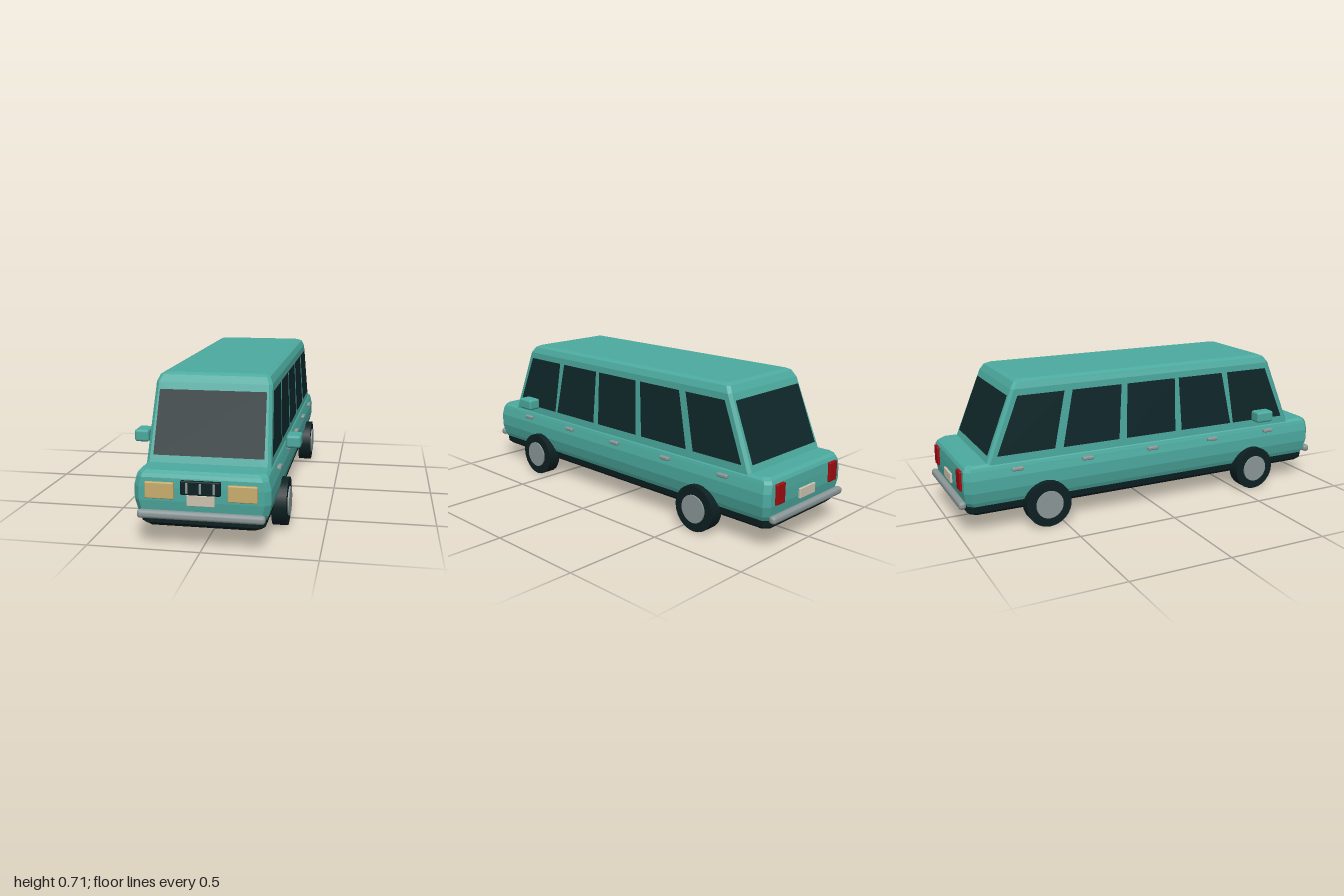
import * as THREE from 'three';
import { RoundedBoxGeometry } from 'three/addons/geometries/RoundedBoxGeometry.js';

const mat = (name, color, extra = {}) => {
  const m = new THREE.MeshStandardMaterial({ color, ...extra });
  m.name = name;
  return m;
};

// Flat-shaded faces from corner triples
function facets(tris) {
  const g = new THREE.BufferGeometry();
  g.setAttribute('position', new THREE.Float32BufferAttribute(tris.flat(), 3));
  g.computeVertexNormals();
  return g;
}

// Stacks chamfered rectangles: each level is [y, halfWidth, zFront, zBack]
function loft(levels, c) {
  const rings = levels.map(([y, w, f, b]) => [
    [w, y, b + c], [w, y, f - c], [w - c, y, f], [c - w, y, f],
    [-w, y, f - c], [-w, y, b + c], [c - w, y, b], [w - c, y, b],
  ]);
  const t = [];
  for (let k = 0; k + 1 < rings.length; k++) {
    for (let i = 0; i < 8; i++) {
      const j = (i + 1) % 8, lo = rings[k], hi = rings[k + 1];
      t.push(lo[i], hi[j], lo[j], lo[i], hi[i], hi[j]);
    }
  }
  const bottom = rings[0], top = rings[rings.length - 1];
  for (let i = 1; i < 7; i++) {
    t.push(bottom[0], bottom[i], bottom[i + 1]);
    t.push(top[0], top[i + 1], top[i]);
  }
  return facets(t);
}

const quad = (a, b, c, d) => facets([a, b, c, a, c, d]);

export function createModel() {
  const car = new THREE.Group();
  car.name = 'stretchedCar';
  const paint = mat('tealPaint', 0x4caa9f);
  const glass = mat('darkGlass', 0x0f272a, { flatShading: false });
  const black = mat('blackTrim', 0x0d2022);
  const metal = mat('greyMetal', 0x8b9798);
  const amber = mat('headlightAmber', 0xc9ad6c);
  const cream = mat('plateCream', 0xcdc4b1);
  const red = mat('tailRed', 0xa00c10);

  const add = (name, geo, material, x = 0, y = 0, z = 0) => {
    const m = new THREE.Mesh(geo, material);
    m.name = name;
    m.position.set(x, y, z);
    car.add(m);
    return m;
  };
  const rbox = (w, h, d, r) => new RoundedBoxGeometry(w, h, d, 2, r);

  // Lower body, underside and cabin
  add('body', loft([
    [0.14, 0.275, 0.957, -0.957], [0.16, 0.283, 0.966, -0.966], [0.21, 0.294, 0.973, -0.973],
    [0.27, 0.294, 0.973, -0.973], [0.31, 0.284, 0.97, -0.97], [0.325, 0.279, 0.962, -0.962],
    [0.337, 0.266, 0.945, -0.945],
  ], 0.025), paint);
  add('underside', loft([
    [0.09, 0.248, 0.94, -0.94], [0.107, 0.268, 0.957, -0.957], [0.145, 0.273, 0.957, -0.957],
  ], 0.025), black);
  add('cabin', loft([
    [0.33, 0.275, 0.835, -0.862], [0.67, 0.26, 0.70, -0.727],
    [0.70, 0.247, 0.677, -0.707], [0.71, 0.225, 0.655, -0.685],
  ], 0.014), paint);

  // Glass lies just outside the sloping cabin walls
  const y0 = 0.368, y1 = 0.64, gap = 0.003;
  const along = (y, a, b) => a + (b - a) * (y - 0.33) / 0.34;
  const fz = (y) => along(y, 0.835, 0.70) + gap;
  const bz = (y) => along(y, -0.862, -0.727) - gap;
  const sx = (y) => along(y, 0.275, 0.26) + gap;
  add('windscreen', quad([-0.245, y0, fz(y0)], [0.245, y0, fz(y0)],
    [0.239, y1, fz(y1)], [-0.239, y1, fz(y1)]), glass);
  add('rearWindow', quad([0.245, y0, bz(y0)], [-0.245, y0, bz(y0)],
    [-0.239, y1, bz(y1)], [0.239, y1, bz(y1)]), glass);

  // Side windows: [bottom front, bottom back, top front, top back] along z
  const panes = [
    [0.785, 0.475, 0.673, 0.435], [0.458, 0.163, 0.402, 0.147], [0.126, -0.15, 0.124, -0.14],
    [-0.19, -0.485, -0.172, -0.428], [-0.528, -0.812, -0.469, -0.70],
  ];
  for (const s of [1, -1]) {
    const side = s > 0 ? 'left' : 'right';
    panes.forEach(([bf, bb, tf, tb], i) => {
      const c = [[s * sx(y0), y0, bf], [s * sx(y0), y0, bb], [s * sx(y1), y1, tb], [s * sx(y1), y1, tf]];
      if (s < 0) c.reverse();
      add(`${side}Window${i + 1}`, quad(...c), glass);
    });

    // Door handles
    [0.69, 0.338, -0.014, -0.367, -0.722].forEach((z, i) =>
      add(`${side}DoorHandle${i + 1}`, rbox(0.02, 0.018, 0.058, 0.006), metal, s * 0.294, 0.302, z));

    // Mirror
    add(`${side}Mirror`, rbox(0.067, 0.057, 0.097, 0.012), paint, s * 0.349, 0.407, 0.607);

    // Wheels
    for (const [end, z] of [['Front', 0.588], ['Rear', -0.582]]) {
      const tyre = add(`${side}${end}Tyre`, new THREE.CylinderGeometry(0.112, 0.112, 0.068, 24), black, s * 0.293, 0.112, z);
      const hub = add(`${side}${end}Hub`, new THREE.CylinderGeometry(0.068, 0.068, 0.02, 24), metal, s * 0.324, 0.112, z);
      tyre.rotation.z = hub.rotation.z = Math.PI / 2;
    }

    // Lights
    add(`${side}Headlight`, rbox(0.126, 0.072, 0.024, 0.005), amber, s * 0.178, 0.257, 0.972);
    add(`${side}TailLight`, rbox(0.062, 0.095, 0.024, 0.005), red, s * 0.208, 0.26, -0.972);
  }

  // Grille with three upright bars
  add('grille', rbox(0.172, 0.061, 0.026, 0.005), black, 0, 0.274, 0.972);
  for (const x of [-0.058, 0, 0.058])
    add('grilleBar', rbox(0.01, 0.046, 0.012, 0.003), metal, x, 0.274, 0.984);

  // Bumpers and blank plates
  for (const [end, s] of [['front', 1], ['rear', -1]]) {
    add(`${end}Bumper`, rbox(0.55, 0.037, 0.036, 0.015), metal, 0, 0.153, s * 0.982);
    add(`${end}Plate`, rbox(0.12, 0.048, 0.018, 0.003), cream, 0, 0.22, s * 0.974);
  }
  return car;
}
